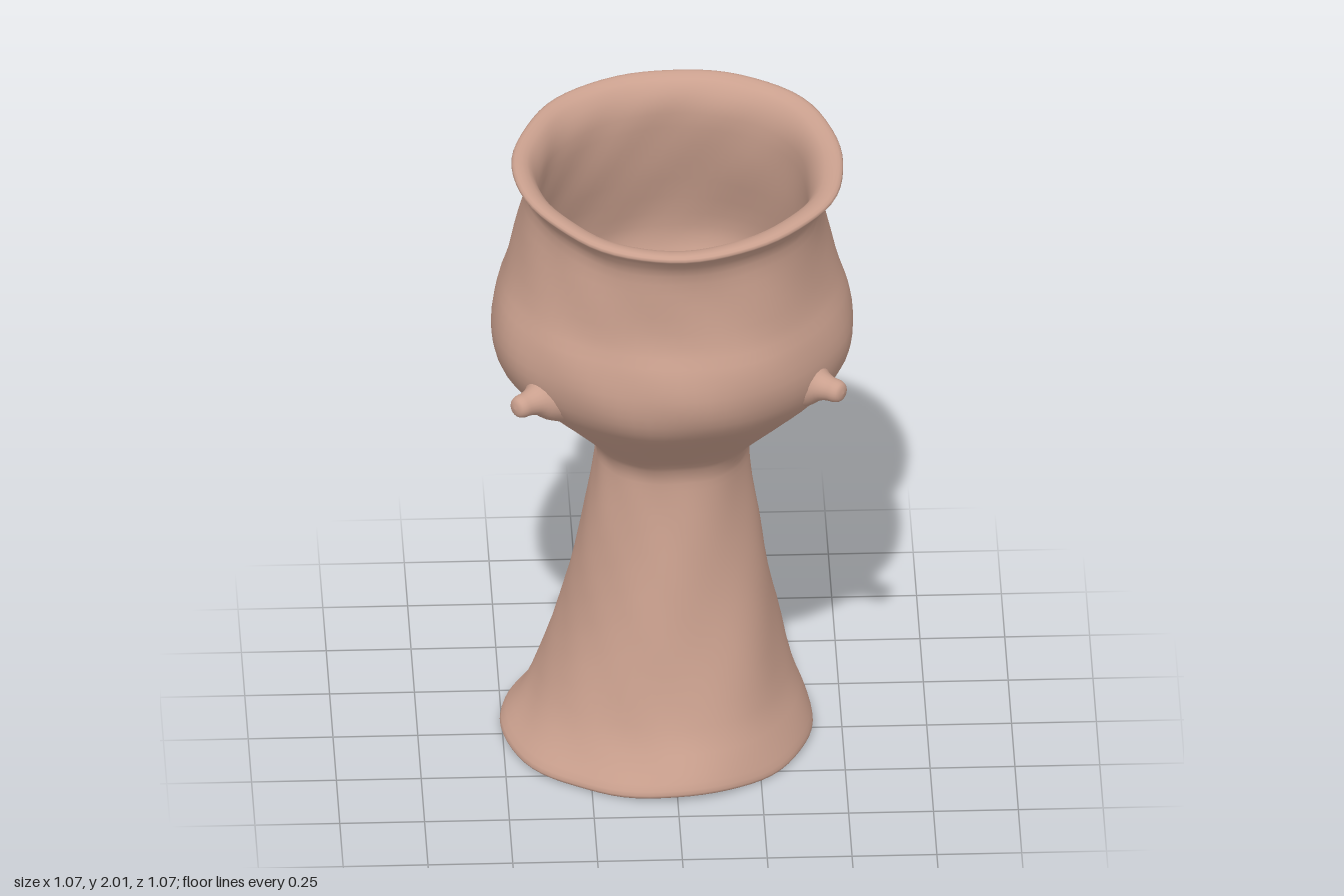
import * as THREE from 'three';

// Wall profile: [y, centre x, centre z, radius], from the foot cavity, round the outside, down into the bowl
const PROFILE = [
  [0.90, 0, 0, 0.002], [0.88, 0, 0, 0.11], [0.78, -0.01, -0.02, 0.18], [0.6, -0.01, -0.03, 0.225],
  [0.4, -0.01, -0.035, 0.265], [0.2, -0.02, -0.04, 0.325], [0.08, -0.035, -0.045, 0.385], [0.012, -0.042, -0.045, 0.435],
  [0.008, -0.042, -0.045, 0.455], [0.03, -0.042, -0.045, 0.458],
  [0.1, -0.027, -0.04, 0.418], [0.2, -0.02, -0.04, 0.375], [0.4, -0.01, -0.035, 0.322], [0.6, -0.01, -0.03, 0.282],
  [0.8, -0.01, -0.02, 0.248], [0.94, -0.005, -0.01, 0.228], [1.0, 0, -0.008, 0.232], [1.06, 0, -0.005, 0.268],
  [1.2, 0, 0, 0.41], [1.3, 0, 0.002, 0.498], [1.4, 0, 0, 0.532], [1.5, 0, 0, 0.522], [1.6, 0.002, 0, 0.49],
  [1.75, 0.004, 0.022, 0.455], [1.87, 0.012, 0.035, 0.442], [1.93, 0.016, 0.038, 0.468], [1.96, 0.017, 0.04, 0.489],
  [1.972, 0.015, 0.038, 0.468], [1.95, 0.012, 0.035, 0.425], [1.87, 0.01, 0.033, 0.398], [1.7, 0.004, 0.015, 0.41],
  [1.5, 0, 0, 0.455], [1.38, 0, 0, 0.46], [1.25, 0, 0, 0.39], [1.14, 0, 0, 0.27], [1.11, 0, 0, 0.13], [1.1, 0, 0, 0.002],
];

// Gentle hand-modelled unevenness
function lumps(a, y) {
  return 0.005 * Math.sin(3 * a + 4 * y) + 0.004 * Math.sin(5 * a - 9 * y + 1)
    + 0.003 * Math.sin(9 * a + 13 * y) * Math.sin(11 * y + 2 * a);
}

function makeBody() {
  const heights = new THREE.CatmullRomCurve3(PROFILE.map(p => new THREE.Vector3(p[0], p[3], 0)), false, 'catmullrom', 0.5);
  const centres = new THREE.CatmullRomCurve3(PROFILE.map(p => new THREE.Vector3(p[1], p[2], 0)), false, 'catmullrom', 0.5);
  const rings = (PROFILE.length - 1) * 3, sides = 72;
  const positions = [], index = [];
  for (let i = 0; i <= rings; i++) {
    const h = heights.getPoint(i / rings), c = centres.getPoint(i / rings);
    for (let j = 0; j < sides; j++) {
      const a = j / sides * Math.PI * 2;
      const r = Math.max(0.002, h.y) + lumps(a, h.x) * Math.min(1, h.y * 3);
      const x = c.x + r * Math.sin(a), z = c.y + r * Math.cos(a);
      // the rim slopes down to the front, the foot edge is a little wavy
      const tilt = THREE.MathUtils.smoothstep(h.x, 1.5, 1.93);
      const base = 1 - THREE.MathUtils.smoothstep(h.x, 0.02, 0.2);
      const y = h.x - 0.078 * z * tilt + 0.004 * Math.sin(3 * a) * tilt + base * 0.006 * (Math.sin(4 * a + 1) + 0.4 * Math.sin(7 * a));
      positions.push(x, Math.max(0, y), z);
      if (i < rings) {
        const k = i * sides + j, n = i * sides + (j + 1) % sides;
        index.push(k, n, n + sides, k, n + sides, k + sides);
      }
    }
  }
  const g = new THREE.BufferGeometry();
  g.setAttribute('position', new THREE.Float32BufferAttribute(positions, 3));
  g.setIndex(index);
  g.computeVertexNormals();
  return g;
}

export function createModel() {
  const group = new THREE.Group();
  group.name = 'footedGoblet';
  const clay = new THREE.MeshStandardMaterial({ color: 0xcaa08e });
  clay.name = 'pinkClay';

  const body = new THREE.Mesh(makeBody(), clay);
  body.name = 'gobletBody';
  group.add(body);

  // Four blunt knobs around the belly, each flaring into the wall
  const knobProfile = [[0.095, -0.05], [0.07, 0], [0.046, 0.03], [0.036, 0.06], [0.034, 0.085], [0.024, 0.102], [0, 0.108]]
    .map(p => new THREE.Vector2(p[0], p[1]));
  const knobGeometry = new THREE.LatheGeometry(new THREE.SplineCurve(knobProfile).getPoints(18)
    .map(p => new THREE.Vector2(Math.max(0, p.x), p.y)), 20);
  const knobs = [
    ['frontLeftKnob', 0.475, 1.36, 0.36], ['frontRightKnob', -0.465, 1.335, 0.37],
    ['backLeftKnob', 0.425, 1.365, -0.42], ['backRightKnob', -0.415, 1.35, -0.43],
  ];
  for (const [name, x, y, z] of knobs) {
    const knob = new THREE.Mesh(knobGeometry, clay);
    const out = new THREE.Vector3(x, 0, z).normalize();
    knob.name = name;
    knob.position.set(x, y, z).addScaledVector(out, -0.088);
    knob.quaternion.setFromUnitVectors(new THREE.Vector3(0, 1, 0), out);
    group.add(knob);
  }
  return group;
}
